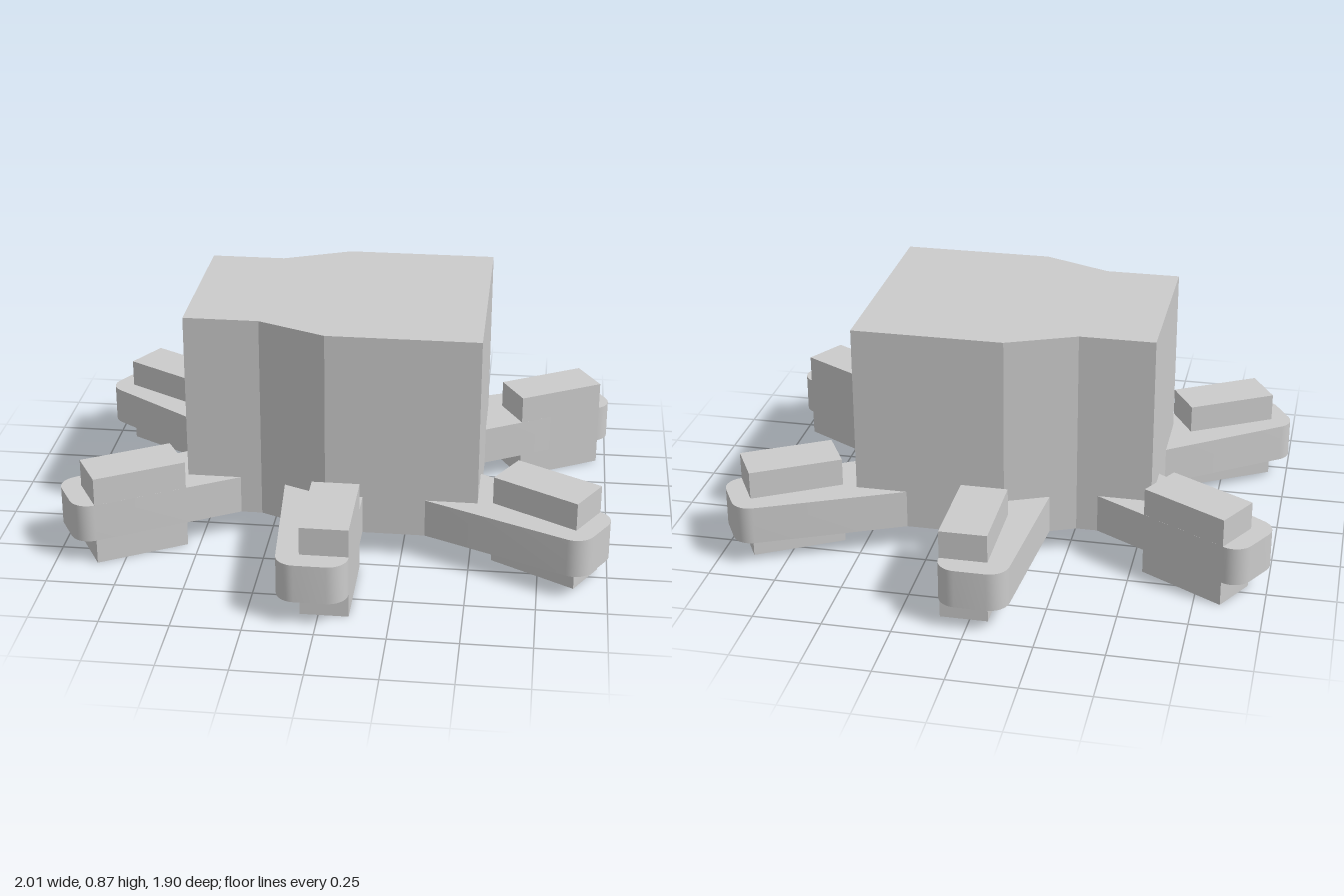
import * as THREE from 'three';
import { toCreasedNormals } from 'three/addons/utils/BufferGeometryUtils.js';

const material = new THREE.MeshStandardMaterial({ color: 0xcccccc });

// Upright prism over a plan outline of [x, z] points; a third value rounds that corner.
function prism(name, outline, bottom, top) {
  const pts = [];
  outline.forEach(([x, z, r], i) => {
    const p = new THREE.Vector2(x, z);
    if (!r) { pts.push(p); return; }
    const n = outline.length;
    const a = new THREE.Vector2(...outline[(i + n - 1) % n].slice(0, 2)).sub(p).normalize();
    const b = new THREE.Vector2(...outline[(i + 1) % n].slice(0, 2)).sub(p).normalize();
    const half = Math.acos(a.dot(b)) / 2;
    const centre = a.clone().add(b).normalize().multiplyScalar(r / Math.sin(half)).add(p);
    const start = a.multiplyScalar(r / Math.tan(half)).add(p).sub(centre);
    const end = b.multiplyScalar(r / Math.tan(half)).add(p).sub(centre);
    const sweep = (Math.PI - 2 * half) * Math.sign(start.cross(end));
    for (let k = 0; k <= 8; k++) {
      pts.push(start.clone().rotateAround(new THREE.Vector2(), sweep * k / 8).add(centre));
    }
  });
  const geo = new THREE.ExtrudeGeometry(new THREE.Shape(pts), { depth: top - bottom, bevelEnabled: false });
  geo.rotateX(Math.PI / 2).translate(0, top, 0);
  const mesh = new THREE.Mesh(toCreasedNormals(geo, 0.35), material);
  mesh.name = name;
  return mesh;
}

// Plan outlines on the +z side: each arm meets the body wall, each block lies flush with one arm edge.
const R = 0.07;
const limbs = {
  Left: {
    arm: [[0.335, 0.427], [0.907, 0.686, R], [1.027, 0.478, R], [0.525, 0.19], [0.525, 0.427]],
    block: [[0.58, 0.418], [0.88, 0.591], [0.965, 0.442], [0.664, 0.27]],
  },
  Middle: {
    arm: [[-0.187, 0.36], [-0.14, 0.948, R], [0.107, 0.948, R], [0.107, 0.427], [-0.03, 0.427]],
    block: [[-0.065, 0.525], [-0.065, 0.87], [0.107, 0.87], [0.107, 0.525]],
  },
  Right: {
    arm: [[-0.555, 0.1], [-1.027, 0.428, R], [-0.907, 0.637, R], [-0.358, 0.32], [-0.555, 0.32]],
    block: [[-0.63, 0.277], [-0.93, 0.451], [-0.845, 0.601], [-0.544, 0.427]],
  },
};

export function createModel() {
  const model = new THREE.Group();
  model.name = 'sixArmedBlock';
  const mirror = (pts) => pts.map(([x, z, r]) => [x, -z, r]);

  // Tall body, narrower towards -x
  const side = [[-0.555, 0.32], [-0.28, 0.32], [-0.03, 0.427], [0.525, 0.427]];
  model.add(prism('body', [...side, ...mirror(side).reverse()], 0.092, 0.865));

  // Three arms on the front, mirrored to the rear, each carrying a block
  for (const [place, { arm, block }] of Object.entries(limbs)) {
    for (const end of ['front', 'rear']) {
      const plan = (pts) => (end === 'front' ? pts : mirror(pts));
      const limb = new THREE.Group();
      limb.name = `${end}${place}Limb`;
      limb.add(prism('arm', plan(arm), 0.092, 0.236));
      limb.add(prism('block', plan(block), 0, 0.34));
      model.add(limb);
    }
  }
  return model;
}
